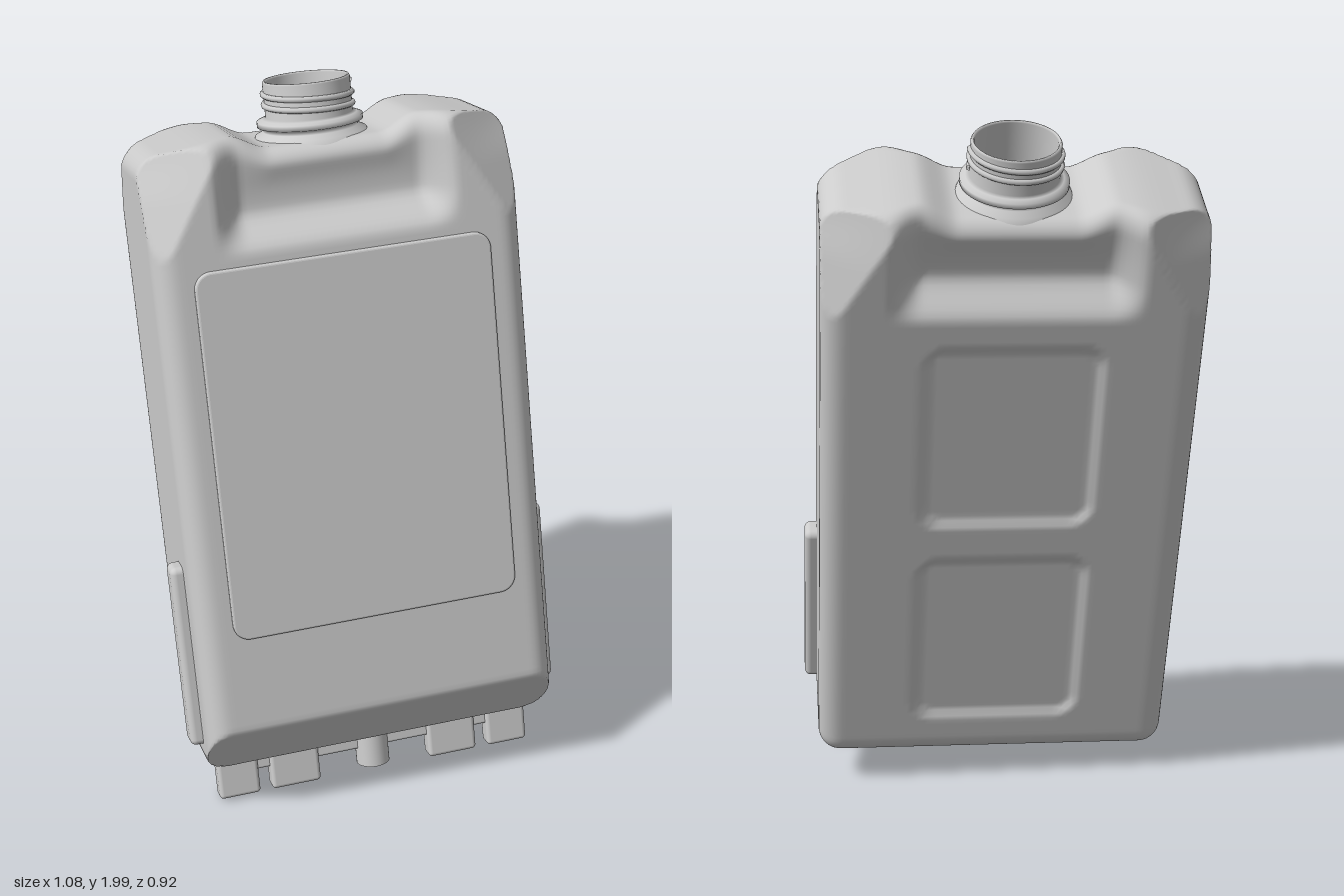
import * as THREE from 'three';
import { mergeVertices } from 'three/addons/utils/BufferGeometryUtils.js';
import { RoundedBoxGeometry } from 'three/addons/geometries/RoundedBoxGeometry.js';

const HX = 0.505, HZ = 0.228, BOTTOM = 0.07, TOP = 1.86;
const S = (a, b, v) => THREE.MathUtils.smoothstep(v, a, b);
const V = (x, y, z) => new THREE.Vector3(x, y, z);
const grey = new THREE.MeshStandardMaterial({ color: 0xcccccc, side: THREE.DoubleSide });

function add(parent, name, geometry, x = 0, y = 0, z = 0) {
  const mesh = new THREE.Mesh(geometry, grey);
  mesh.name = name;
  mesh.position.set(x, y, z);
  parent.add(mesh);
  return mesh;
}

function roundedRect(w, h, r) {
  const s = new THREE.Shape(), x = w / 2, y = h / 2;
  s.absarc(x - r, y - r, r, 0, Math.PI / 2);
  s.absarc(r - x, y - r, r, Math.PI / 2, Math.PI);
  s.absarc(r - x, r - y, r, Math.PI, Math.PI * 1.5);
  s.absarc(x - r, r - y, r, Math.PI * 1.5, Math.PI * 2);
  s.closePath();
  return s;
}

// signed distance to a rounded rectangle, negative inside
function rectDistance(x, y, hx, hy, r) {
  const dx = Math.abs(x) - hx + r, dy = Math.abs(y) - hy + r;
  return Math.hypot(Math.max(dx, 0), Math.max(dy, 0)) + Math.min(Math.max(dx, dy), 0) - r;
}

// cut a point back to a plane whose normal faces outwards
function cut(p, plane) {
  const d = plane.distanceToPoint(p);
  if (d > 0) p.addScaledVector(plane.normal, -d);
}

function outwardPlane(a, b, c) {
  const plane = new THREE.Plane().setFromCoplanarPoints(a, b, c);
  if (plane.distanceToPoint(V(0, 1, 0)) > 0) plane.negate();
  return plane;
}

// hollow tank: a fine box, rounded, chamfered and pressed in by rule
function bodyGeometry() {
  const hy = (TOP - BOTTOM) / 2, cy = (TOP + BOTTOM) / 2, r = 0.065;
  let geo = new THREE.BoxGeometry(HX * 2, hy * 2, HZ * 2, 76, 120, 36);
  geo.deleteAttribute('normal');
  geo.deleteAttribute('uv');
  geo = mergeVertices(geo);
  const shoulder = outwardPlane(V(0.29, TOP, HZ), V(HX, TOP, 0.09), V(HX, 1.5, HZ));
  const toe = outwardPlane(V(0, 0.225, HZ), V(1, 0.225, HZ), V(0, BOTTOM, 0.09));
  const pos = geo.attributes.position, p = V(), inner = V();
  const limit = V(HX - r, hy - r, HZ - r), low = limit.clone().negate();
  for (let i = 0; i < pos.count; i++) {
    p.fromBufferAttribute(pos, i);
    inner.copy(p).clamp(low, limit);
    p.sub(inner).setLength(r).add(inner);
    p.y += cy;
    const sx = Math.sign(p.x), sz = Math.sign(p.z);
    // sloping front toe
    cut(p, toe);
    // triangular facets on the four shoulders
    p.set(Math.abs(p.x), p.y, Math.abs(p.z));
    cut(p, shoulder);
    // grip hollows front and back
    const grip = 0.075 * (1 - S(0.24, 0.335, p.x)) * S(1.56, 1.66, p.y) * (1 - 0.35 * S(1.66, 1.86, p.y));
    // shallow pockets on the back
    if (sz < 0 && p.z > HZ - 0.01) {
      for (const y of [1.194, 0.505])
        p.z -= 0.014 * (1 - S(-0.014, 0.008, rectDistance(p.x, p.y - y, 0.235, 0.283, 0.06)));
    }
    p.z *= 1 - grip / HZ;
    // lowered middle and falling sides of the top
    const high = S(1.7, TOP, p.y);
    p.y -= high * (0.042 * (1 - S(0.15, 0.26, p.x)) + 0.028 * S(0.28, HX, p.x));
    pos.setXYZ(i, p.x * sx, p.y, p.z * sz);
  }
  // mouth opening under the neck
  const inMouth = i => pos.getY(i) > 1.7 && Math.hypot(pos.getX(i), pos.getZ(i)) < 0.11;
  const old = geo.index.array, kept = [];
  for (let i = 0; i < old.length; i += 3) {
    const t = [old[i], old[i + 1], old[i + 2]];
    if (!t.some(inMouth)) kept.push(...t);
  }
  geo.setIndex(kept);
  geo.computeVertexNormals();
  return geo;
}

function addNeck(parent) {
  const neck = new THREE.Group();
  neck.name = 'neck';
  parent.add(neck);
  const profile = [
    [0.16, 1.8], [0.15, 1.822], [0.128, 1.832], [0.128, 1.842], [0.143, 1.846], [0.143, 1.86],
    [0.128, 1.866], [0.118, 1.87], [0.118, 1.962], [0.115, 1.967], [0.111, 1.967], [0.108, 1.962], [0.108, 1.79],
  ].map(([x, y]) => new THREE.Vector2(x, y));
  add(neck, 'neckTube', new THREE.LatheGeometry(profile, 64));
  // two turns of screw thread
  const turns = [];
  for (let i = 0; i <= 64; i++) {
    const a = i / 64 * Math.PI * 4;
    turns.push(V(Math.cos(a) * 0.119, 1.888 + 0.058 * i / 64, Math.sin(a) * 0.119));
  }
  add(neck, 'neckThread', new THREE.TubeGeometry(new THREE.CatmullRomCurve3(turns), 160, 0.008, 8));
}

function addFeet(parent) {
  const feet = new THREE.Group();
  feet.name = 'feet';
  parent.add(feet);
  const z = 0.02;
  for (const s of [-1, 1]) {
    add(feet, 'outerTab', new RoundedBoxGeometry(0.12, 0.14, 0.055, 3, 0.012), s * 0.405, 0.017, z);
    add(feet, 'innerTab', new RoundedBoxGeometry(0.145, 0.14, 0.055, 3, 0.012), s * 0.237, 0.017, z);
  }
  add(feet, 'tabWeb', new RoundedBoxGeometry(0.84, 0.09, 0.03, 2, 0.008), 0, 0.06, z);
  add(feet, 'centrePin', new THREE.CylinderGeometry(0.048, 0.048, 0.14, 32), 0, 0.035, z);
}

export function createModel() {
  const model = new THREE.Group();
  model.name = 'canister';
  const can = new THREE.Group();
  can.name = 'tiltedCanister';
  // the canister leans back and is turned slightly
  can.rotation.set(-0.26, -0.115, 0.024, 'YXZ');
  can.position.set(-0.003, 0.069, 0.261);
  model.add(can);

  add(can, 'body', bodyGeometry());

  // raised label panel on the front
  const panel = new THREE.ExtrudeGeometry(roundedRect(0.8, 1.02, 0.04), {
    depth: 0.02, bevelEnabled: true, bevelThickness: 0.006, bevelSize: 0.006, bevelSegments: 3, curveSegments: 10,
  });
  add(can, 'frontPanel', panel, 0, 1.017, HZ - 0.012);

  // rub strips low on both sides
  for (const s of [-1, 1])
    add(can, 'sideStrip', new RoundedBoxGeometry(0.07, 0.535, 0.075, 4, 0.018), s * 0.505, 0.425, 0.072);

  addNeck(can);
  addFeet(can);
  return model;
}
